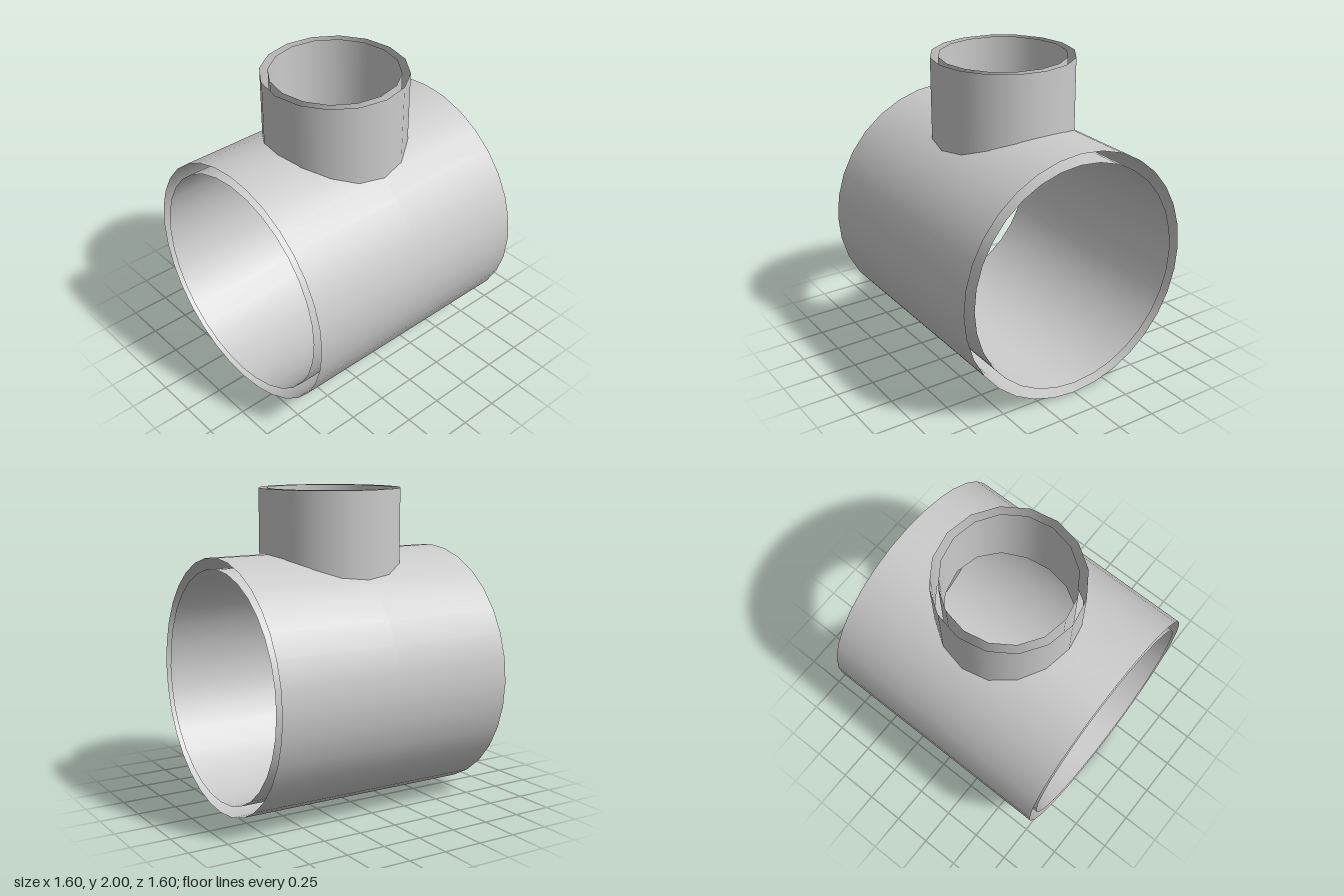
import * as THREE from 'three';

const AXIS_Y = 0.8, HALF_LENGTH = 0.8, TOP = 2;
const PIPE_SIDES = 32, BRANCH_SIDES = 16;

// Height of the upper half of a regular polygon (vertex at the top) at offset x
function polygonHeight(x, r, sides) {
  const ax = Math.abs(x), step = (Math.PI * 2) / sides;
  if (ax >= r - 1e-6) return 0;
  const k = Math.min(Math.floor(Math.asin(ax / r) / step + 1e-6), sides / 4 - 1);
  const x0 = r * Math.sin(k * step), x1 = r * Math.sin((k + 1) * step);
  const y0 = r * Math.cos(k * step), y1 = r * Math.cos((k + 1) * step);
  return y0 + ((y1 - y0) * (ax - x0)) / (x1 - x0);
}

// Smooth band between two rails; each row is { a, b, n }
function band(name, rows, inward) {
  const pos = [], nor = [], idx = [];
  rows.forEach(({ a, b, n }, i) => {
    pos.push(...a, ...b);
    const m = inward ? n.map((v) => -v) : n;
    nor.push(...m, ...m);
    if (i === 0) return;
    const p = 2 * i - 2;
    if (inward) idx.push(p, p + 3, p + 2, p, p + 1, p + 3);
    else idx.push(p, p + 2, p + 3, p, p + 3, p + 1);
  });
  const geo = new THREE.BufferGeometry();
  geo.setAttribute('position', new THREE.Float32BufferAttribute(pos, 3));
  geo.setAttribute('normal', new THREE.Float32BufferAttribute(nor, 3));
  geo.setIndex(idx);
  const material = new THREE.MeshStandardMaterial({ color: 0xcccccc, side: THREE.DoubleSide });
  const mesh = new THREE.Mesh(geo, material);
  mesh.name = name;
  return mesh;
}

// Horizontal pipe wall with a round opening on top, made as front and back halves
function pipeWall(name, r, holeR, inward) {
  const columns = [];
  for (let k = -PIPE_SIDES / 2; k <= PIPE_SIDES / 2; k++) {
    const t = (k * Math.PI * 2) / PIPE_SIDES;
    columns.push({ t, x: r * Math.sin(t), y: r * Math.cos(t) });
  }
  // Extra columns at the corners of the opening
  for (let k = -BRANCH_SIDES / 4; k <= BRANCH_SIDES / 4; k++) {
    if (k === 0) continue;
    const x = holeR * Math.sin((k * Math.PI * 2) / BRANCH_SIDES);
    const y = polygonHeight(x, r, PIPE_SIDES);
    columns.push({ t: Math.atan2(x, y), x, y });
  }
  columns.sort((p, q) => p.t - q.t);

  const group = new THREE.Group();
  group.name = name;
  for (const front of [true, false]) {
    const rows = columns.map(({ t, x, y }) => {
      const h = y > 0 ? polygonHeight(x, holeR, BRANCH_SIDES) : 0;
      return {
        a: [x, AXIS_Y + y, front ? HALF_LENGTH : -h],
        b: [x, AXIS_Y + y, front ? h : -HALF_LENGTH],
        n: [Math.sin(t), Math.cos(t), 0],
      };
    });
    group.add(band(name + (front ? 'Front' : 'Back'), rows, inward));
  }
  return group;
}

// Upright branch wall whose lower edge follows the pipe wall
function branchWall(name, r, pipeR, inward) {
  const rows = [], step = (Math.PI * 2) / BRANCH_SIDES, parts = 4;
  for (let i = 0; i <= BRANCH_SIDES * parts; i++) {
    const k = Math.floor(i / parts), f = (i % parts) / parts;
    const x = r * THREE.MathUtils.lerp(Math.sin(k * step), Math.sin((k + 1) * step), f);
    const z = r * THREE.MathUtils.lerp(Math.cos(k * step), Math.cos((k + 1) * step), f);
    const t = (k + f) * step;
    rows.push({
      a: [x, AXIS_Y + polygonHeight(x, pipeR, PIPE_SIDES), z],
      b: [x, TOP, z],
      n: [Math.sin(t), 0, Math.cos(t)],
    });
  }
  return band(name, rows, inward);
}

export function createModel() {
  const model = new THREE.Group();
  model.name = 'pipeTee';
  // Outer and inner walls, with open ends
  model.add(
    pipeWall('pipeOuterWall', 0.8, 0.45, false),
    pipeWall('pipeInnerWall', 0.73, 0.4, true),
    branchWall('branchOuterWall', 0.45, 0.8, false),
    branchWall('branchInnerWall', 0.4, 0.73, true),
  );
  return model;
}
